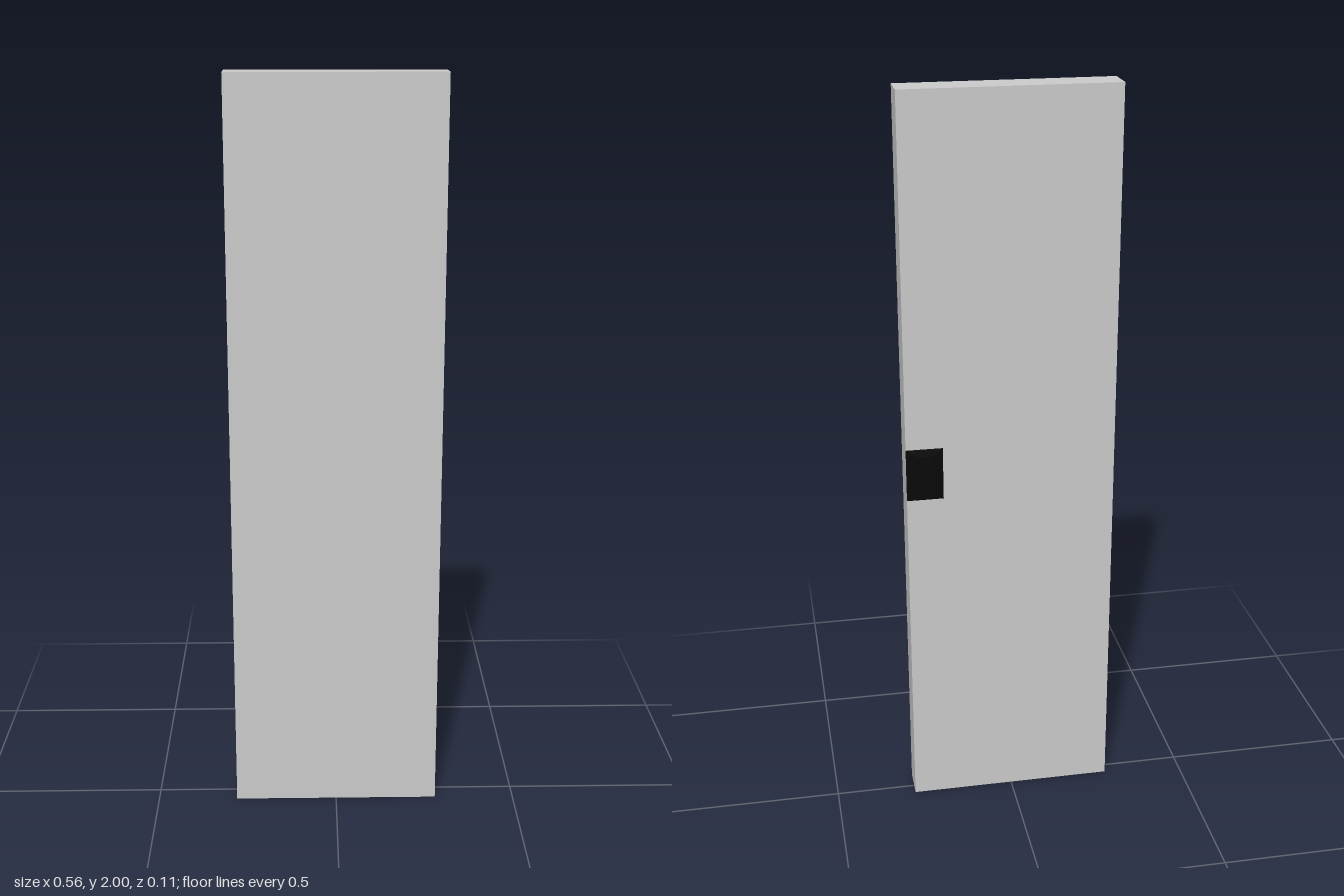
import * as THREE from 'three';

export function createModel() {
  const model = new THREE.Group();

  // Flat slab, slightly forward of centre to leave room for the grip
  const panel = new THREE.Mesh(
    new THREE.BoxGeometry(0.56, 2, 0.086),
    new THREE.MeshStandardMaterial({ color: 0xcccccc, flatShading: true })
  );
  panel.name = 'doorPanel';
  panel.position.set(0, 1, 0.01);
  model.add(panel);

  // Dark grip on the back: a box whose outer face is tapered inwards
  const geometry = new THREE.BoxGeometry(0.098, 0.145, 0.021);
  const pos = geometry.attributes.position;
  for (let i = 0; i < pos.count; i++) {
    if (pos.getZ(i) < 0) {
      pos.setX(i, Math.sign(pos.getX(i)) * 0.02);
      pos.setY(i, Math.sign(pos.getY(i)) * 0.06);
    }
  }
  geometry.computeVertexNormals();
  const handle = new THREE.Mesh(
    geometry,
    new THREE.MeshStandardMaterial({ color: 0x0a0a0a, flatShading: true })
  );
  handle.name = 'handle';
  handle.position.set(0.231, 1, -0.0435);
  model.add(handle);

  return model;
}
